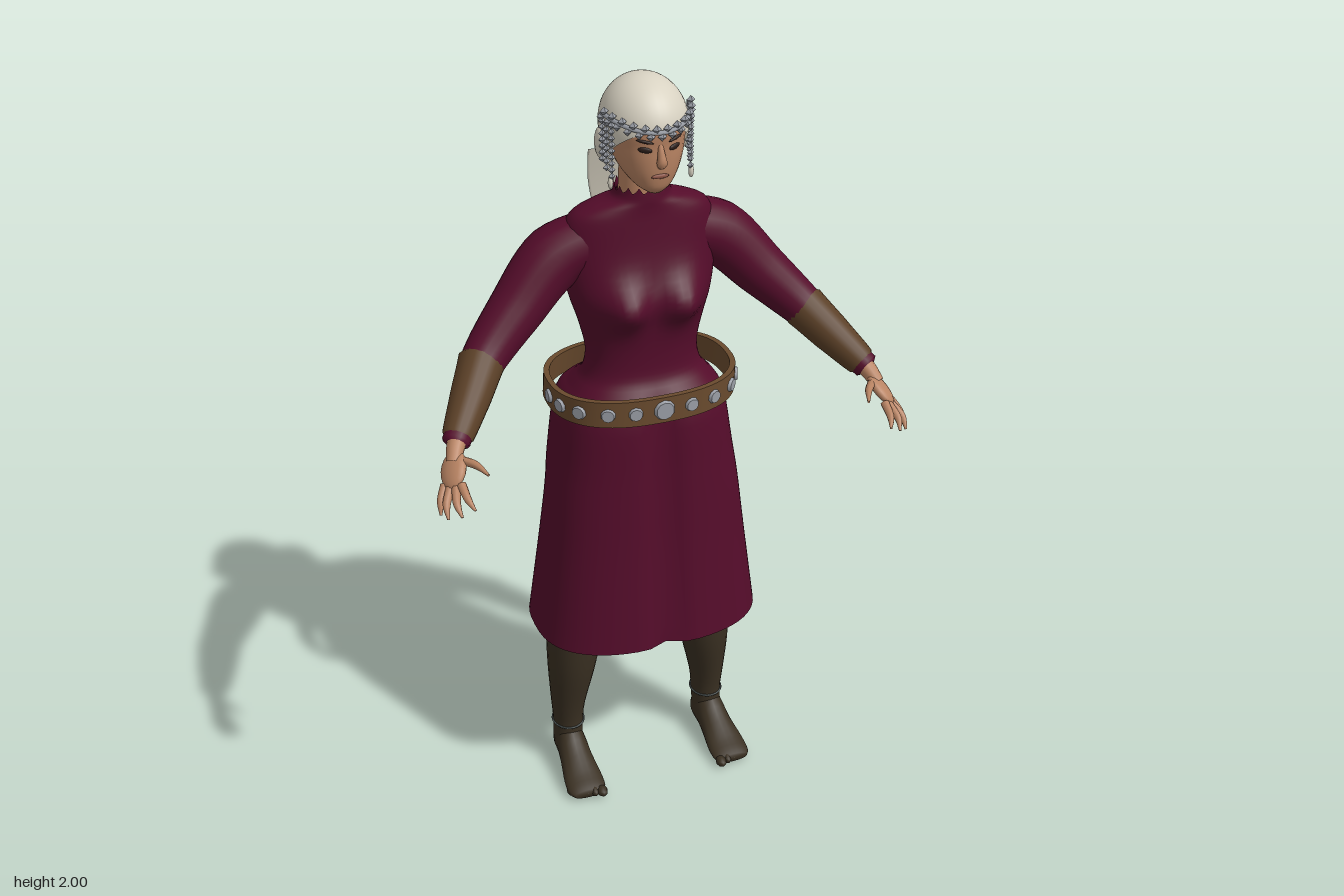
import * as THREE from 'three';

const mat = (name, color) => {
  const m = new THREE.MeshStandardMaterial({ color, side: THREE.DoubleSide });
  m.name = name;
  return m;
};
const M = {
  dress: mat('wine cloth', 0x540c2a), belt: mat('belt leather', 0x6a4b2e), bracer: mat('bracer leather', 0x5a3f26),
  leg: mat('dark stocking', 0x3a3022), lining: mat('grey lining', 0x4a5150), skin: mat('skin', 0xb98463),
  cap: mat('ivory', 0xd8d2c2), metal: mat('silver', 0x9a9ea6), dark: mat('eye dark', 0x2a1c18), lips: mat('lips', 0x8e5546),
};

const add = (parent, name, geo, material) => {
  const m = new THREE.Mesh(geo, material);
  m.name = name;
  parent.add(m);
  return m;
};

// Smoothly subdivide rows of numbers
function dense(rows, k) {
  const out = [], at = i => rows[Math.min(Math.max(i, 0), rows.length - 1)];
  for (let i = 0; i < rows.length - 1; i++) for (let s = 0; s < k; s++) {
    const t = s / k;
    out.push(rows[i].map((p1, c) => {
      const p0 = at(i - 1)[c], p2 = at(i + 1)[c], p3 = at(i + 2)[c];
      return p1 + 0.5 * t * (p2 - p0 + t * (2 * p0 - 5 * p1 + 4 * p2 - p3 + t * (3 * (p1 - p2) + p3 - p0)));
    }));
  }
  out.push(rows.at(-1));
  return out;
}

// One point of an oval section; row = [y, halfWidth, zFront, zBack, xCentre, squareness]
function oval([y, w, zf, zb, cx = 0, n = 2.2], t) {
  const p = v => Math.sign(v) * Math.abs(v) ** (2 / n);
  return new THREE.Vector3(cx + w * p(Math.sin(t)), y, (zf + zb) / 2 + (zf - zb) / 2 * p(Math.cos(t)));
}

// Skin over oval sections, listed from top to bottom
function loft(rows, seg = 32, capped = false, rule = null) {
  const pos = [], idx = [];
  rows.forEach((r, i) => {
    for (let j = 0; j < seg; j++) {
      const t = j / seg * Math.PI * 2, v = oval(r, t);
      if (rule) rule(v, t, i);
      pos.push(v.x, v.y, v.z);
      if (i < rows.length - 1) {
        const a = i * seg + j, b = i * seg + (j + 1) % seg;
        idx.push(a, a + seg, b, b, a + seg, b + seg);
      }
    }
  });
  if (capped) [0, rows.length - 1].forEach((i, end) => {
    const [y, , zf, zb, cx = 0] = rows[i], c = pos.length / 3;
    pos.push(cx, y, (zf + zb) / 2);
    for (let j = 0; j < seg; j++) {
      const a = i * seg + j, b = i * seg + (j + 1) % seg;
      idx.push(...(end ? [c, b, a] : [c, a, b]));
    }
  });
  const g = new THREE.BufferGeometry();
  g.setAttribute('position', new THREE.Float32BufferAttribute(pos, 3));
  g.setIndex(idx);
  g.computeVertexNormals();
  return g;
}

// Tapered tube through [x, y, z, radius] points, mirrored by s
function limb(pts, s, steps = 16, seg = 14) {
  const curve = new THREE.CatmullRomCurve3(pts.map(p => new THREE.Vector3(p[0] * s, p[1], p[2])));
  const g = new THREE.TubeGeometry(curve, steps, 1, seg), a = g.attributes.position, v = new THREE.Vector3();
  for (let i = 0; i < a.count; i++) {
    const u = Math.floor(i / (seg + 1)) / steps, c = curve.getPointAt(u);
    const f = curve.getUtoTmapping(u) * (pts.length - 1), k = Math.min(Math.floor(f), pts.length - 2);
    v.fromBufferAttribute(a, i).sub(c).multiplyScalar(THREE.MathUtils.lerp(pts[k][3], pts[k + 1][3], f - k)).add(c);
    a.setXYZ(i, v.x, v.y, v.z);
  }
  return g;
}

const ball = (x, y, z, rx, ry, rz, n = 14) => new THREE.SphereGeometry(1, n, Math.ceil(n * 0.7)).scale(rx, ry, rz).translate(x, y, z);

function buildDress(root) {
  const rows = dense([
    [1.725, .068, .002, -.115, 0, 2], [1.70, .078, .004, -.12, 0, 2], [1.68, .135, .004, -.14, 0, 2], [1.65, .178, .006, -.16, 0, 2.1],
    [1.58, .195, .015, -.18, 0, 2.2], [1.50, .19, .03, -.185, 0, 2.2], [1.44, .178, .038, -.18, 0, 2.2], [1.38, .16, .035, -.166, 0, 2.2],
    [1.30, .143, .03, -.155, 0, 2.2], [1.24, .152, .035, -.165, 0, 2.2], [1.20, .18, .062, -.205, 0, 2.3], [1.15, .212, .092, -.252, 0, 2.5],
    [1.0, .236, .103, -.255, 0, 2.6], [.9, .25, .11, -.238, 0, 2.6], [.75, .269, .122, -.25, 0, 2.6], [.5, .302, .147, -.28, 0, 2.6],
  ], 4);
  add(root, 'dress', loft(rows, 64, false, (v, t, i) => {
    const front = Math.cos(t) > 0;
    if (i === 0) v.y += .01 * Math.cos(16 * t); // scalloped collar
    if (front) v.z += .052 * Math.exp(-(((Math.abs(v.x) - .075) / .055) ** 2) - ((v.y - 1.445) / .055) ** 2); // bust
    const low = THREE.MathUtils.smoothstep(1.24 - v.y, 0, .12); // centre folds of the skirt
    v.z += (front ? -.024 : .03) * low * Math.exp(-((v.x / .035) ** 2));
  }), M.dress);
}

function buildBelt(root) {
  const belt = new THREE.Group();
  belt.name = 'belt';
  root.add(belt);
  const ring = (y, o, back) => [y, .242 - o, .104 - o, back + o, 0, 2.4];
  const edge = [ring(1.225, .014, -.25), ring(1.225, 0, -.25), ring(1.155, 0, -.268), ring(1.155, .014, -.268), ring(1.225, .014, -.25)];
  for (let i = 0; i < 4; i++) add(belt, 'beltBand', loft([edge[i], edge[i + 1]], 64, false, (v, t) => {
    if (Math.cos(t) < 0) v.z += .02 * Math.exp(-((v.x / .05) ** 2));
  }), M.belt);
  // silver studs, the largest in the middle
  const mid = ring(1.19, 0, -.26);
  [0, .24, .54, .92, 1.25, 1.52].forEach((t, i) => (i ? [t, -t] : [t]).forEach(a => {
    const p = oval(mid, a), d = oval(mid, a + .02).sub(oval(mid, a - .02));
    const r = i === 0 ? .031 : .021;
    const stud = add(belt, 'beltStud', new THREE.CylinderGeometry(r * .75, r, .014, 10).rotateX(Math.PI / 2), M.metal);
    stud.position.copy(p);
    stud.rotation.y = Math.atan2(-d.z, d.x);
  }));
}

function buildArm(root, s) {
  const arm = new THREE.Group();
  arm.name = s > 0 ? 'leftArm' : 'rightArm';
  root.add(arm);
  add(arm, 'sleeve', limb([[.09, 1.595, -.085, .07], [.21, 1.55, -.09, .08], [.32, 1.44, -.065, .068], [.42, 1.34, -.02, .054], [.46, 1.298, .03, .045]], s, 24, 20), M.dress);
  add(arm, 'bracer', limb([[.417, 1.345, -.027, .05], [.42, 1.342, -.023, .058], [.47, 1.288, .045, .05], [.525, 1.23, .118, .037], [.527, 1.228, .121, .03]], s, 24, 18), M.bracer);
  add(arm, 'cuff', limb([[.515, 1.24, .105, .034], [.533, 1.222, .13, .034], [.534, 1.221, .132, .022]], s, 6), M.dress);
  // hand: wrist, palm and five fingers
  add(arm, 'wrist', limb([[.51, 1.245, .1, .026], [.535, 1.215, .135, .022], [.548, 1.19, .16, .018]], s), M.skin);
  const d = new THREE.Vector3(.03 * s, -.055, .08).normalize();
  const n = new THREE.Vector3(-.68 * s, .39, .63).cross(d).normalize();
  const w = new THREE.Vector3().crossVectors(d, n);
  add(arm, 'palm', ball(0, 0, 0, .036, .05, .016).applyMatrix4(new THREE.Matrix4().makeBasis(w, d, n.crossVectors(w, d)).setPosition(.552 * s, 1.178, .172)), M.skin);
  const fingers = [
    [[.577, 1.148, .182], [.595, 1.12, .205], [.6, 1.09, .218]], [[.568, 1.148, .198], [.588, 1.122, .23], [.59, 1.095, .25]],
    [[.557, 1.153, .208], [.567, 1.13, .248], [.562, 1.108, .272]], [[.545, 1.16, .214], [.542, 1.142, .255], [.532, 1.125, .28]],
    [[.535, 1.195, .16], [.505, 1.197, .2], [.486, 1.188, .24]],
  ];
  fingers.forEach(([a, b, c], i) => add(arm, i < 4 ? 'finger' : 'thumb', limb([[...a, .0115], [...b, .0095], [...c, .003]], s, 8, 8), M.skin));
}

function buildLeg(root, s) {
  const leg = new THREE.Group();
  leg.name = s > 0 ? 'leftLeg' : 'rightLeg';
  root.add(leg);
  const side = rows => rows.map(([y, w, f, b, cx]) => [y, w, f, b, cx * s, 2]);
  add(leg, 'thigh', loft(side([[1.05, .09, .03, -.2, .1], [.75, .09, .01, -.19, .145], [.52, .08, -.008, -.172, .18]]), 24), M.lining);
  add(leg, 'shin', loft(dense(side([[.53, .078, -.008, -.17, .181], [.42, .074, -.012, -.17, .187], [.32, .064, -.02, -.166, .195],
    [.2, .047, -.045, -.152, .205], [.13, .041, -.055, -.148, .206], [.07, .04, -.05, -.147, .208]]), 3), 24), M.leg);
  add(leg, 'foot', loft(dense(side([[.1, .04, -.006, -.026, .213], [.08, .052, 0, -.036, .213], [.04, .053, 0, -.052, .212], [-.02, .045, 0, -.085, .21],
    [-.07, .041, 0, -.12, .208], [-.12, .038, 0, -.115, .207], [-.15, .022, -.01, -.07, .207]]), 3), 20, true).rotateX(Math.PI / 2), M.leg);
  for (let i = 0; i < 5; i++)
    add(leg, 'toe', ball(s * (.176 + i * .02), .016, .098 - i * .008, i ? .011 : .015, .014, .02, 8), M.leg);
  add(leg, 'anklet', new THREE.TorusGeometry(1, .06, 6, 24).rotateX(Math.PI / 2).scale(.043, .05, .049).translate(.206 * s, .13, -.101), M.lining);
}

function buildHead(root) {
  const head = new THREE.Group();
  head.name = 'head';
  root.add(head);
  add(head, 'neck', new THREE.CylinderGeometry(.052, .058, .16, 24).translate(0, 1.745, -.058), M.skin);
  const face = add(head, 'face', loft(dense([
    [1.95, .06, .05, -.11], [1.92, .086, .07, -.14], [1.89, .092, .075, -.145], [1.86, .09, .072, -.145], [1.83, .084, .072, -.13],
    [1.80, .073, .07, -.105], [1.775, .058, .066, -.07], [1.755, .04, .06, -.03], [1.74, .018, .048, .0],
  ], 3), 32, true), M.skin);
  const ray = new THREE.Raycaster(), back = new THREE.Vector3(0, 0, -1);
  const faceZ = (x, y) => {
    ray.set(new THREE.Vector3(x, y, 1), back);
    return ray.intersectObject(face)[0]?.point.z ?? .06;
  };
  // features
  const plate = (name, x, y, w, h, m, tilt = 0) => {
    const p = add(head, name, ball(0, 0, 0, w, h, .004, 10), m);
    p.position.set(x, y, faceZ(x, y));
    p.rotation.set(0, Math.atan2(faceZ(x - .01, y) - faceZ(x + .01, y), .02), tilt);
  };
  add(head, 'nose', limb([[0, 1.866, .068, .006], [0, 1.845, .076, .009], [0, 1.826, .08, .013], [0, 1.815, .07, .008]], 1, 12), M.skin);
  plate('mouth', 0, 1.79, .022, .006, M.lips);
  for (const s of [1, -1]) {
    plate('eye', s * .036, 1.857, .017, .007, M.dark, s * .12);
    plate('eyebrow', s * .037, 1.878, .021, .004, M.dark, s * .2);
    add(head, 'ear', ball(s * .1, 1.84, -.055, .015, .04, .027), M.cap);
    add(head, 'earring', ball(s * .1, 1.765, .008, .007, .016, .007, 8), M.cap);
  }
  // close cap, tilted back to leave the face free
  add(head, 'cap', new THREE.SphereGeometry(1, 40, 24, 0, Math.PI * 2, 0, 2.09).rotateX(-.69).scale(.104, .115, .122).translate(0, 1.884, -.044), M.cap);

  // circlet with hanging beads
  const at = (a, y, o = 0) => [(.107 + o) * Math.sin(a), y, -.044 + (.124 + o) * Math.cos(a)];
  const arc = [];
  for (let i = -12; i <= 12; i++) {
    const a = i / 12 * 1.45, y = 1.912 - .012 * Math.cos(a * 2);
    arc.push(new THREE.Vector3(...at(a, y)));
    add(head, 'circletBead', new THREE.OctahedronGeometry(.011).translate(...at(a, y + (i % 2 ? .009 : -.009), .002)), M.metal);
  }
  add(head, 'circlet', new THREE.TubeGeometry(new THREE.CatmullRomCurve3(arc), 48, .006, 6), M.metal);
  for (const s of [1, -1]) {
    for (let k = 0; k < 3; k++) for (let j = 0; j < 9 - k; j++)
      add(head, 'chainBead', new THREE.OctahedronGeometry(.009).translate(...at(s * (1.12 + k * .16), 1.905 - j * .0155, .001)), M.metal);
  }
}

function buildVeil(root) {
  // narrow cloth tapering to a point behind the back
  const rows = dense([[1.775, .092, -.177], [1.69, .086, -.2], [1.6, .066, -.219], [1.5, .038, -.23], [1.43, .016, -.226], [1.37, .001, -.212]], 4);
  add(root, 'backVeil', loft(rows.map(([y, w, z]) => [y, w, z + .001, z - .001]), 16), M.cap);
}

export function createModel() {
  const root = new THREE.Group();
  root.name = 'robedFigure';
  buildDress(root);
  buildBelt(root);
  for (const s of [1, -1]) {
    buildArm(root, s);
    buildLeg(root, s);
  }
  buildHead(root);
  buildVeil(root);
  return root;
}
